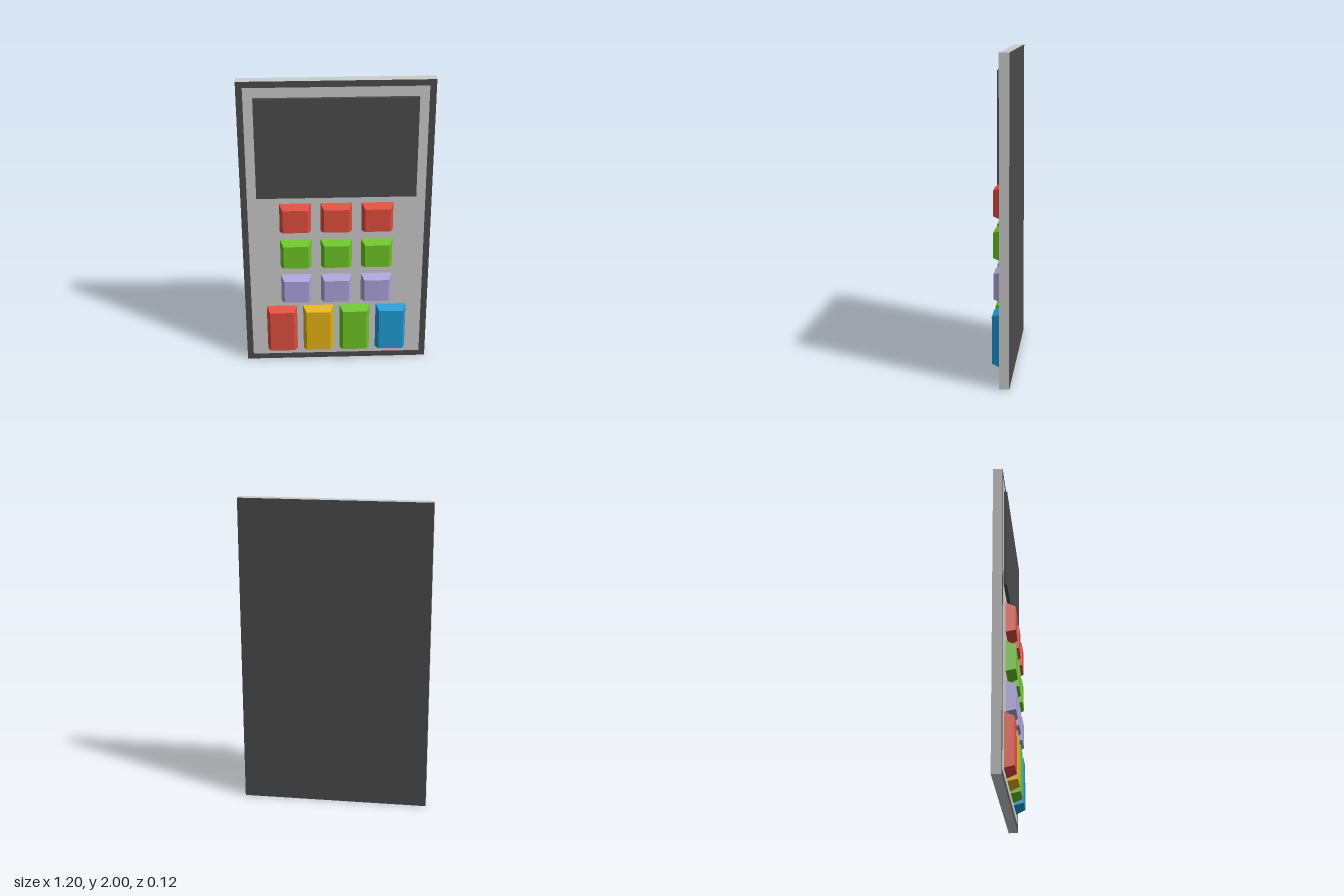
import * as THREE from 'three';

const mat = (color) => new THREE.MeshStandardMaterial({ color });

const grey = mat(0xcccccc);
const dark = mat(0x4c4c4c);
const red = mat(0xe14e3e);
const green = mat(0x6dc525);
const purple = mat(0xaca3db);
const yellow = mat(0xe6b315);
const blue = mat(0x1e9cd4);

const W = 1.2, H = 2, DEPTH = 0.06, RIM = 0.04;

function part(name, geometry, material, x, y, z) {
  const mesh = new THREE.Mesh(geometry, material);
  mesh.name = name;
  mesh.position.set(x, y, z);
  return mesh;
}

// Rectangle centred on the origin, as corner points
function rectangle(w, h) {
  return [[-1, -1], [1, -1], [1, 1], [-1, 1]].map(([x, y]) => new THREE.Vector2(x * w / 2, y * h / 2));
}

// Box whose front face is inset on all four sides
function taperedKey(w, h, d, inset) {
  const geometry = new THREE.BoxGeometry(w, h, d);
  const p = geometry.attributes.position;
  for (let i = 0; i < p.count; i++) {
    if (p.getZ(i) > 0) {
      p.setX(i, p.getX(i) - Math.sign(p.getX(i)) * inset);
      p.setY(i, p.getY(i) - Math.sign(p.getY(i)) * inset);
    }
  }
  geometry.computeVertexNormals();
  return geometry;
}

export function createModel() {
  const group = new THREE.Group();
  group.name = 'keypadDevice';

  // Casing: dark rim with grey outer edges, filled by a flush panel with a dark back
  const outline = new THREE.Shape(rectangle(W, H));
  outline.holes.push(new THREE.Path(rectangle(W - 2 * RIM, H - 2 * RIM).reverse()));
  const rim = new THREE.ExtrudeGeometry(outline, { depth: DEPTH, bevelEnabled: false });
  group.add(part('rim', rim, [dark, grey], 0, H / 2, -DEPTH));

  const panel = new THREE.BoxGeometry(W - 2 * RIM, H - 2 * RIM, DEPTH);
  group.add(part('panel', panel, [grey, grey, grey, grey, grey, dark], 0, H / 2, -DEPTH / 2));

  // Display
  group.add(part('screen', new THREE.BoxGeometry(1, 0.665, 0.02), dark, 0, 1.563, 0.01));

  // Three rows of small square keys
  const keyDepth = 0.06;
  const smallKey = taperedKey(0.2, 0.2, keyDepth, 0.021);
  [red, green, purple].forEach((material, row) => {
    for (let col = -1; col <= 1; col++) {
      group.add(part('smallKey', smallKey, material, col * 0.26, 1.083 - row * 0.26, keyDepth / 2));
    }
  });

  // Bottom row of tall keys
  const tallKey = taperedKey(0.2, 0.34, keyDepth, 0.021);
  [red, yellow, green, blue].forEach((material, i) => {
    group.add(part('tallKey', tallKey, material, -0.36 + i * 0.24, 0.253, keyDepth / 2));
  });

  return group;
}
